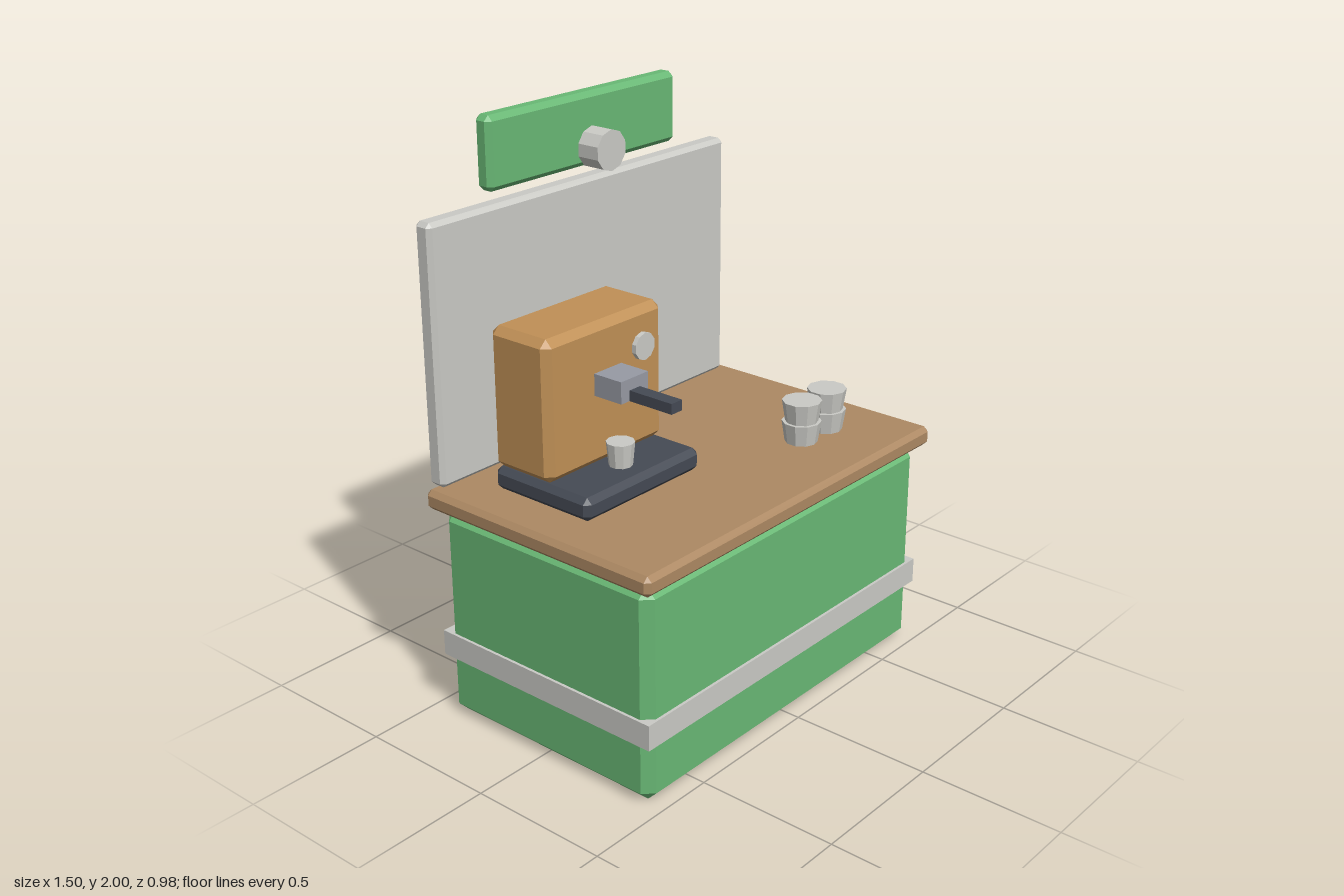
import * as THREE from 'three';
import { ConvexGeometry } from 'three/addons/geometries/ConvexGeometry.js';

function mat(name, color) {
  const m = new THREE.MeshStandardMaterial({ color, flatShading: true });
  m.name = name;
  return m;
}

// Box with chamfered edges and corners, centred on the origin
function chamferBox(w, h, d, b) {
  const pts = [];
  for (const x of [-1, 1]) for (const y of [-1, 1]) for (const z of [-1, 1]) {
    const X = x * w / 2, Y = y * h / 2, Z = z * d / 2;
    pts.push(
      new THREE.Vector3(X, Y - y * b, Z - z * b),
      new THREE.Vector3(X - x * b, Y, Z - z * b),
      new THREE.Vector3(X - x * b, Y - y * b, Z));
  }
  return new ConvexGeometry(pts);
}

export function createModel() {
  const root = new THREE.Group();
  root.name = 'coffeeStand';

  const green = mat('green paint', 0x69b875);
  const pale = mat('pale grey', 0xcacac5);
  const wood = mat('wood', 0xad8963);
  const copper = mat('copper', 0xc09056);
  const dark = mat('dark metal', 0x454a54);
  const steel = mat('steel', 0x979aa4);

  function add(name, geometry, material, parent = root) {
    const mesh = new THREE.Mesh(geometry, material);
    mesh.name = name;
    parent.add(mesh);
    return mesh;
  }

  // Block given by its extents on each axis; bevel 0 makes a plain box
  function block(name, material, [x0, x1], [y0, y1], [z0, z1], bevel = 0, parent = root) {
    const size = [x1 - x0, y1 - y0, z1 - z0];
    const geo = bevel ? chamferBox(...size, bevel) : new THREE.BoxGeometry(...size);
    const mesh = add(name, geo, material, parent);
    mesh.position.set((x0 + x1) / 2, (y0 + y1) / 2, (z0 + z1) / 2);
    return mesh;
  }

  // Tapered ten-sided cup standing on y
  function cup(name, x, y, z, rTop, rBottom, h, parent = root) {
    const mesh = add(name, new THREE.CylinderGeometry(rTop, rBottom, h, 10), pale, parent);
    mesh.position.set(x, y + h / 2, z);
  }

  // Ten-sided disc facing the front
  function disc(name, x, y, [z0, z1], r, parent = root) {
    const mesh = add(name, new THREE.CylinderGeometry(r, r, z1 - z0, 10), pale, parent);
    mesh.rotation.x = Math.PI / 2;
    mesh.position.set(x, y, (z0 + z1) / 2);
  }

  // Counter
  block('counterBody', green, [-0.715, 0.715], [0, 0.755], [-0.435, 0.457], 0.035);
  block('counterBand', pale, [-0.725, 0.725], [0.215, 0.305], [-0.445, 0.467]);
  block('counterTop', wood, [-0.75, 0.75], [0.755, 0.825], [-0.472, 0.491], 0.017);

  // Back panel, sign and round badge
  block('backPanel', pale, [-0.713, 0.713], [0.825, 1.715], [-0.491, -0.421], 0.015);
  block('sign', green, [-0.447, 0.447], [1.755, 2], [-0.491, -0.421], 0.018);
  disc('signBadge', 0, 1.825, [-0.401, -0.315], 0.07);

  // Espresso machine
  const machine = new THREE.Group();
  machine.name = 'espressoMachine';
  root.add(machine);
  block('machineBase', dark, [-0.598, -0.052], [0.825, 0.905], [-0.305, 0.11], 0.02, machine);
  block('machineBody', copper, [-0.598, -0.052], [0.905, 1.387], [-0.305, -0.05], 0.026, machine);
  block('brewHead', steel, [-0.386, -0.259], [1.15, 1.225], [-0.06, 0.064], 0, machine);
  block('brewHandle', dark, [-0.347, -0.298], [1.15, 1.186], [0.05, 0.238], 0, machine);
  disc('pressureGauge', -0.161, 1.257, [-0.055, -0.033], 0.047, machine);
  cup('espressoCup', -0.323, 0.905, 0, 0.048, 0.04, 0.082, machine);

  // Two stacks of paper cups
  for (const x of [0.356, 0.499]) {
    for (const y of [0.825, 0.9]) cup('paperCup', x, y, 0.22, 0.069, 0.057, 0.076);
  }

  return root;
}
